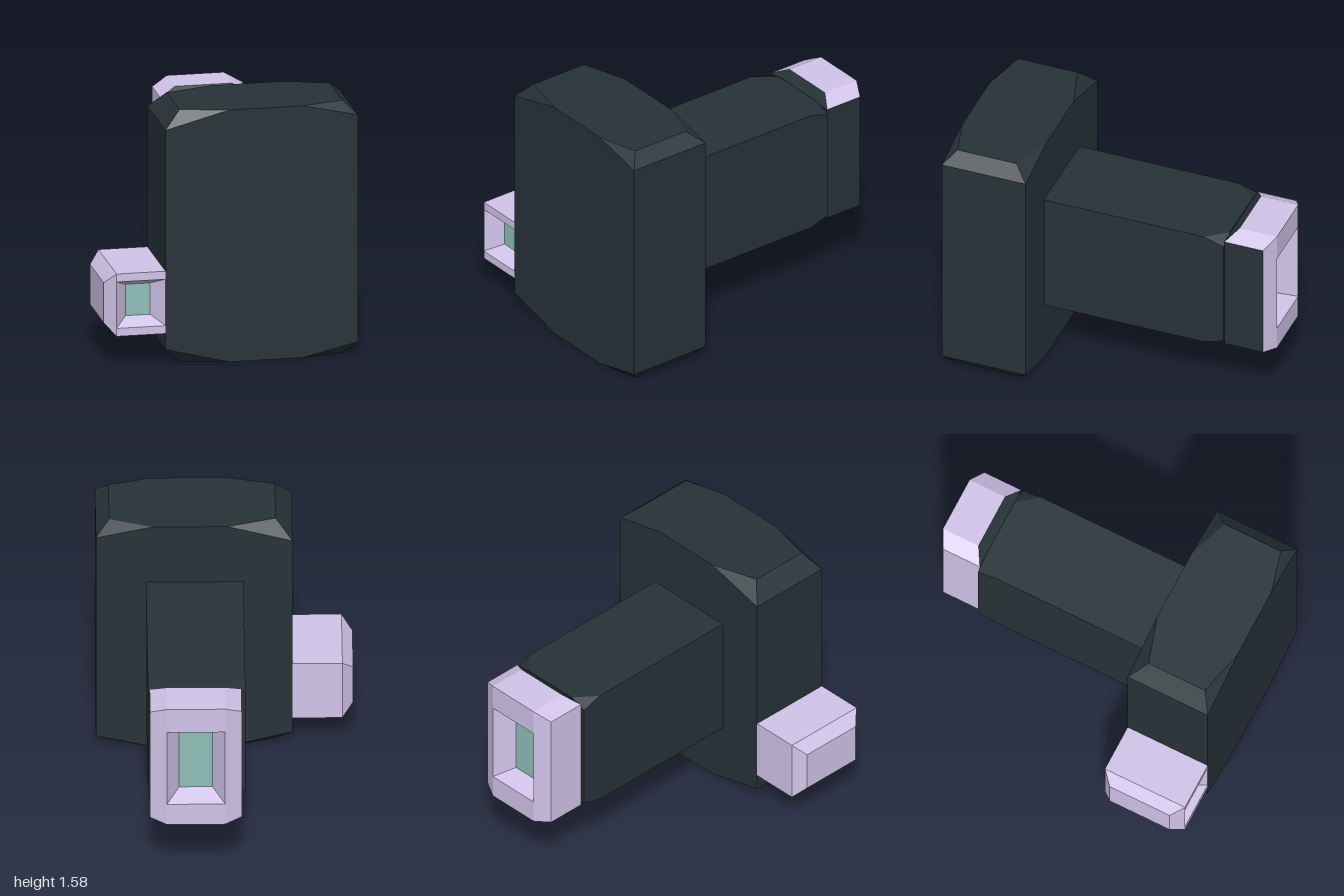
import * as THREE from 'three';
import { ConvexGeometry } from 'three/addons/geometries/ConvexGeometry.js';

const mat = (color) => new THREE.MeshStandardMaterial({ color, flatShading: true });
const dark = mat(0x263238), lilac = mat(0xd1c4e9), teal = mat(0x8fbfb8);

// every combination of the given coordinates
const grid = (xs, ys, zs) =>
  xs.flatMap((x) => ys.flatMap((y) => zs.map((z) => new THREE.Vector3(x, y, z))));

// flat-shaded geometry from a plain list of triangle corners
function fromCorners(corners) {
  const g = new THREE.BufferGeometry().setFromPoints(corners);
  g.computeVertexNormals();
  return g;
}

// convex solid, keeping only the triangles accepted by the test (normal, centre)
function hull(points, keep = () => true) {
  const p = new ConvexGeometry(points).attributes.position;
  const out = [];
  for (let i = 0; i < p.count; i += 3) {
    const t = [0, 1, 2].map((k) => new THREE.Vector3().fromBufferAttribute(p, i + k));
    const tri = new THREE.Triangle(...t);
    if (keep(tri.getNormal(new THREE.Vector3()), tri.getMidpoint(new THREE.Vector3()))) out.push(...t);
  }
  return fromCorners(out);
}

const rect = (x0, x1, y0, y1, z) =>
  [[x0, y0], [x1, y0], [x1, y1], [x0, y1]].map(([x, y]) => new THREE.Vector3(x, y, z));

// bands between successive rectangles; facing is +1 towards +z, -1 towards -z
function bands(rings, facing) {
  const out = [];
  const add = (a, b, c) => {
    if (new THREE.Triangle(a, b, c).getArea() > 1e-6) out.push(...(facing > 0 ? [a, b, c] : [a, c, b]));
  };
  for (let r = 0; r < rings.length - 1; r++) {
    for (let i = 0; i < 4; i++) {
      const j = (i + 1) % 4, a = rings[r], b = rings[r + 1];
      add(a[i], a[j], b[j]);
      add(a[i], b[j], b[i]);
    }
  }
  return fromCorners(out);
}

export function createModel() {
  const model = new THREE.Group();
  const add = (name, geometry, material, parent = model) => {
    const m = new THREE.Mesh(geometry, material);
    m.name = name;
    parent.add(m);
    return m;
  };

  // tapered recess with its rim and a glass pane at the bottom
  function recess(parent, x0, x1, outerY, openY, z, depth, facing) {
    const back = z - facing * depth;
    const pane = [x0 + 0.075, x1 - 0.075, openY[0] + 0.047, openY[1] - 0.047];
    add('rimAndRecess', bands([
      rect(x0, x1, ...outerY, z), rect(x0, x1, ...openY, z), rect(...pane, back),
    ], facing), lilac, parent);
    const glass = new THREE.PlaneGeometry(pane[1] - pane[0], pane[3] - pane[2]);
    if (facing < 0) glass.rotateY(Math.PI);
    glass.translate((pane[0] + pane[1]) / 2, (pane[2] + pane[3]) / 2, back);
    add('glass', glass, teal, parent);
  }

  // main block with bevelled top and bottom ends
  add('mainBlock', hull([
    ...grid([-0.41], [0.1, 1.47], [0.46, 1]),
    ...grid([0.77], [0.08, 1.5], [0.46, 1]),
    ...grid([-0.02, 0.43], [0, 1.575], [0.46, 1]),
    ...grid([-0.31, 0.69], [0, 1.575], [0.55, 0.93]),
  ]), dark);

  // long arm, its corners cut off towards the rear end
  add('arm', hull([
    ...grid([-0.115, 0.47], [0.4, 1.18], [0.46, -0.57]),
    ...grid([-0.115, 0.47], [0.44, 1.14], [-0.7]),
    ...grid([-0.01, 0.37], [0.4, 1.18], [-0.7]),
  ]), dark);

  // rear eyepiece: lilac housing, dark left cheek and front bevel
  const eyepiece = new THREE.Group();
  eyepiece.name = 'eyepiece';
  model.add(eyepiece);
  const eyePoints = [
    ...grid([0.01, 0.36], [0.395, 1.22], [-1, -0.76]),
    ...grid([-0.09, 0.46], [0.415, 1.17], [-0.95, -0.7]),
  ];
  const isDark = (n) => n.x > 0.9 || n.z > 0.3;
  add('eyepieceHousing', hull(eyePoints, (n) => !isDark(n) && n.z > -0.99), lilac, eyepiece);
  add('eyepieceDarkFaces', hull(eyePoints, isDark), dark, eyepiece);
  recess(eyepiece, 0.01, 0.36, [0.395, 1.22], [0.54, 1.055], -1, 0.12, -1);

  // side lens on the right of the main block
  const sideLens = new THREE.Group();
  sideLens.name = 'sideLens';
  model.add(sideLens);
  add('lensHousing', hull([
    ...grid([-0.71, -0.41], [0.2, 0.59], [0.46, 1]),
    ...grid([-0.775], [0.27, 0.52], [0.525, 0.93]),
  ], (n) => n.z < 0.99), lilac, sideLens);
  recess(sideLens, -0.71, -0.41, [0.2, 0.59], [0.25, 0.54], 1, 0.1, 1);

  return model;
}
